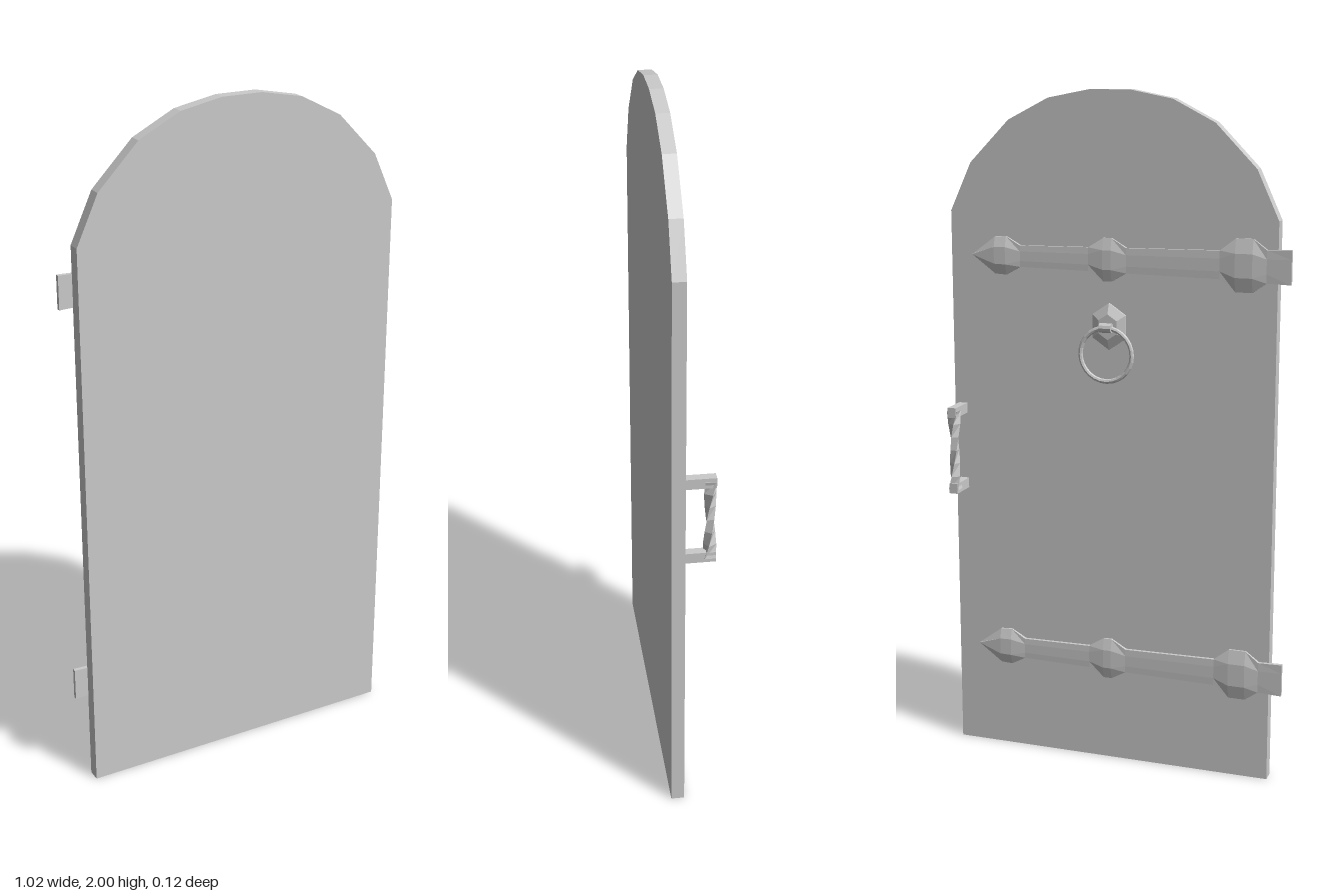
import * as THREE from 'three';

const metal = new THREE.MeshStandardMaterial({ color: 0xcccccc, flatShading: true });

function add(parent, name, geometry, x = 0, y = 0, z = 0) {
  const mesh = new THREE.Mesh(geometry, metal);
  mesh.name = name;
  mesh.position.set(x, y, z);
  parent.add(mesh);
  return mesh;
}

// Skin a row of rings (counter-clockwise about the direction of travel) and cap both ends.
function loft(rings) {
  const pos = [];
  const tri = (a, b, c) => pos.push(...a, ...b, ...c);
  const n = rings[0].length;
  for (let i = 0; i < rings.length - 1; i++) {
    for (let j = 0; j < n; j++) {
      const k = (j + 1) % n;
      const a = rings[i][j], d = rings[i][k], b = rings[i + 1][j], c = rings[i + 1][k];
      tri(a, d, c);
      tri(a, c, b);
    }
  }
  const first = rings[0], last = rings[rings.length - 1];
  for (let j = 1; j < n - 1; j++) {
    tri(first[0], first[j + 1], first[j]);
    tri(last[0], last[j], last[j + 1]);
  }
  const g = new THREE.BufferGeometry();
  g.setAttribute('position', new THREE.Float32BufferAttribute(pos, 3));
  g.computeVertexNormals();
  return g;
}

// Arched door leaf
function panelGeometry() {
  const half = [[0.4925, 1.65], [0.428, 1.79], [0.308, 1.913], [0.185, 1.976], [0.06, 2]];
  const cx = 0.0175;
  const pts = [[cx - 0.4925, 0], [cx + 0.4925, 0]];
  half.forEach(([x, y]) => pts.push([cx + x, y]));
  [...half].reverse().forEach(([x, y]) => pts.push([cx - x, y]));
  const shape = new THREE.Shape(pts.map(([x, y]) => new THREE.Vector2(x, y)));
  return new THREE.ExtrudeGeometry(shape, { depth: 0.038, bevelEnabled: false });
}

// Strap hinge: x, half width, edge z, crown z
function strapGeometry() {
  const sections = [
    [-0.515, 0.048, 0.014, 0.014], [-0.445, 0.046, 0.015, 0.014],
    [-0.405, 0.075, 0.019, 0.009], [-0.355, 0.075, 0.019, 0.009],
    [-0.31, 0.04, 0.015, 0.014], [-0.035, 0.036, 0.015, 0.014],
    [0.01, 0.062, 0.019, 0.01], [0.035, 0.062, 0.019, 0.01],
    [0.08, 0.034, 0.015, 0.014], [0.29, 0.031, 0.015, 0.014],
    [0.335, 0.056, 0.019, 0.009], [0.37, 0.054, 0.019, 0.009],
    [0.44, 0.002, 0.019, 0.016],
  ];
  return loft(sections.map(([x, w, edge, crown]) => [
    [x, -w, 0.026], [x, -w, edge], [x, -w * 0.45, crown],
    [x, w * 0.45, crown], [x, w, edge], [x, w, 0.026],
  ]));
}

// Bevelled six-sided plate, raised toward -z
function plateGeometry() {
  return loft([[0.026, 1], [0.019, 1], [0.006, 0.55]].map(([z, s]) =>
    Array.from({ length: 6 }, (_, i) => {
      const a = -(i + 0.5) * Math.PI / 3;
      return [0.058 * s * Math.cos(a), 0.068 * s * Math.sin(a), z];
    })));
}

// Square bar twisted half a turn, slimmer at the waist
function twistGeometry(length, steps) {
  const rings = [];
  for (let i = 0; i <= steps; i++) {
    const t = i / steps;
    const s = 1 - 0.35 * Math.sin(Math.PI * t);
    rings.push([0, 1, 2, 3].map((k) => {
      const a = Math.PI / 4 + k * Math.PI / 2 + t * Math.PI;
      return [0.022 * s * Math.cos(a), (t - 0.5) * length, -0.022 * s * Math.sin(a)];
    }));
  }
  return loft(rings);
}

export function createModel() {
  const door = new THREE.Group();
  door.name = 'archedDoor';

  add(door, 'doorPanel', panelGeometry(), 0, 0, 0.025);

  const strap = strapGeometry();
  add(door, 'upperStrapHinge', strap, 0, 1.525, 0);
  add(door, 'lowerStrapHinge', strap, 0, 0.32, 0);

  // Ring knocker
  const knocker = new THREE.Group();
  knocker.name = 'ringKnocker';
  knocker.position.set(0.018, 1.333, 0);
  door.add(knocker);
  add(knocker, 'knockerPlate', plateGeometry());
  const eye = add(knocker, 'ringEye', new THREE.CylinderGeometry(0.014, 0.014, 0.036, 10), 0, 0, -0.008);
  eye.rotation.z = Math.PI / 2;
  add(knocker, 'eyeStem', new THREE.BoxGeometry(0.03, 0.018, 0.02), 0, 0, 0.003);
  add(knocker, 'ring', new THREE.TorusGeometry(0.078, 0.007, 8, 28), 0, -0.078, -0.006);

  // Pull handle
  const handle = new THREE.Group();
  handle.name = 'pullHandle';
  handle.position.set(0.484, 0.945, 0);
  door.add(handle);
  for (const s of [1, -1]) {
    add(handle, s > 0 ? 'upperHandlePost' : 'lowerHandlePost',
      new THREE.BoxGeometry(0.026, 0.03, 0.12), 0, s * 0.116, 0);
  }
  add(handle, 'twistedGrip', twistGeometry(0.24, 6), 0, 0, -0.044);

  return door;
}
